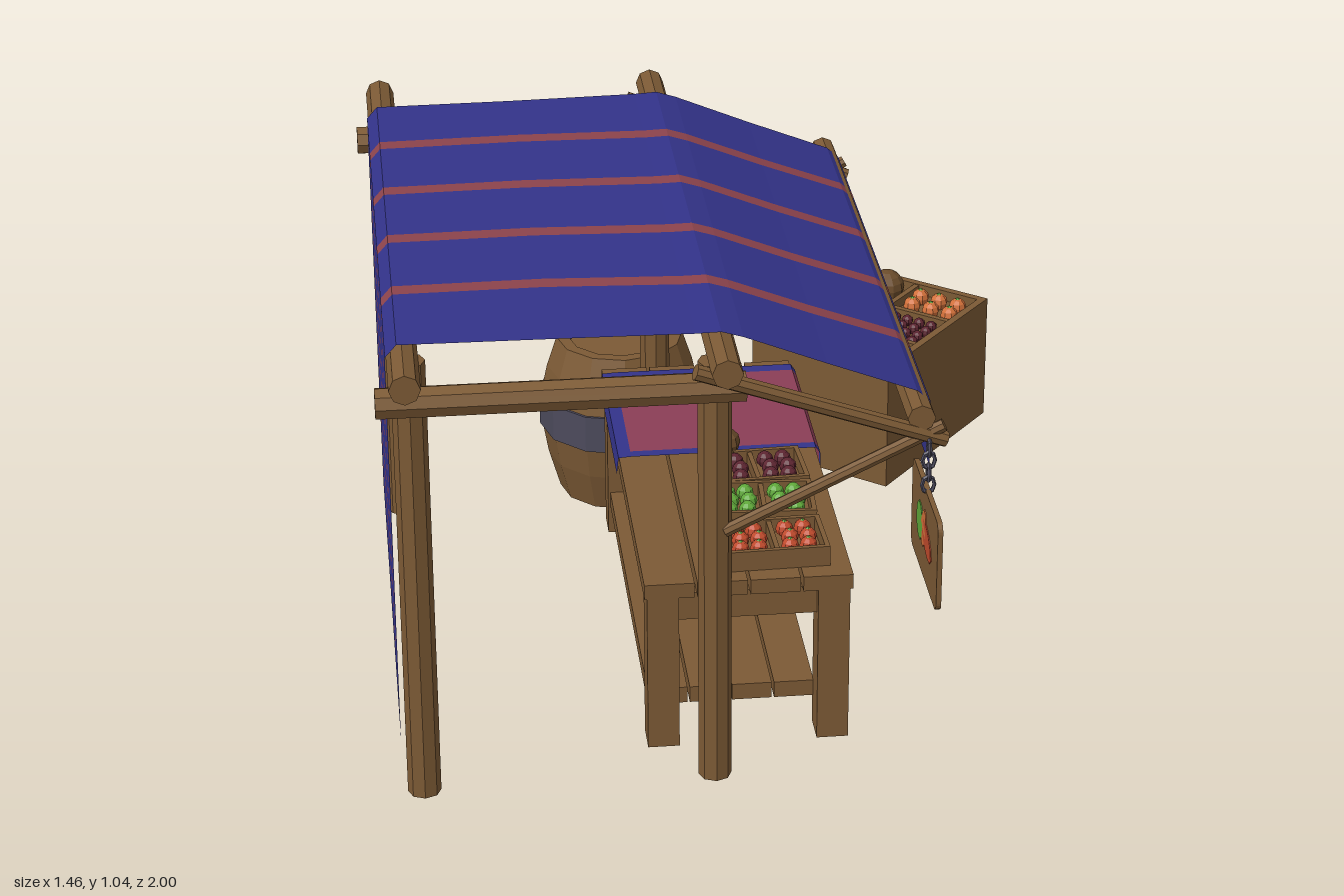
import * as THREE from 'three';

const paint = (name, color, extra = {}) => {
  const m = new THREE.MeshStandardMaterial({ color, flatShading: true, ...extra });
  m.name = name;
  return m;
};

export function createModel() {
  const two = { side: THREE.DoubleSide };
  const wood = paint('wood', 0x7c5a35);
  const darkWood = paint('dark wood', 0x6b4c2b);
  const blue = paint('blue cloth', 0x33338a, two);
  const red = paint('red stripe', 0x8c434c, two);
  const rugRed = paint('rug red', 0x8b3e56, two);
  const iron = paint('iron', 0x4c4a5c);
  const orange = paint('orange', 0xd2703a);
  const tomato = paint('tomato', 0xc04a2c);
  const green = paint('green', 0x5fa83a);
  const plum = paint('plum', 0x5c2430);

  const stall = new THREE.Group();
  stall.name = 'marketStall';

  const add = (geo, mat, name, x = 0, y = 0, z = 0, parent = stall) => {
    const m = new THREE.Mesh(geo, mat);
    m.name = name;
    m.position.set(x, y, z);
    parent.add(m);
    return m;
  };
  // box given by its min and max corners
  const block = (name, mat, x0, x1, y0, y1, z0, z1, parent = stall) =>
    add(new THREE.BoxGeometry(x1 - x0, y1 - y0, z1 - z0), mat, name,
      (x0 + x1) / 2, (y0 + y1) / 2, (z0 + z1) / 2, parent);
  // round pole between two points
  const pole = (name, a, b, r) => {
    const p = new THREE.Vector3(...a), q = new THREE.Vector3(...b);
    const dir = q.clone().sub(p);
    const m = add(new THREE.CylinderGeometry(r, r, dir.length(), 8), wood, name);
    m.position.copy(p).add(q).multiplyScalar(0.5);
    m.quaternion.setFromUnitVectors(new THREE.Vector3(0, 1, 0), dir.normalize());
    return m;
  };
  // ribbon of cloth along an (x, y) profile, between two z edges
  const ribbon = (name, mat, pts, zA, zB) => {
    const v = [];
    for (let i = 0; i < pts.length - 1; i++) {
      const [x0, y0] = pts[i], [x1, y1] = pts[i + 1];
      const a = [x0, y0, zA(i)], b = [x0, y0, zB(i)], c = [x1, y1, zB(i + 1)], d = [x1, y1, zA(i + 1)];
      v.push(...a, ...b, ...c, ...a, ...c, ...d);
    }
    const g = new THREE.BufferGeometry();
    g.setAttribute('position', new THREE.Float32BufferAttribute(v, 3));
    g.computeVertexNormals();
    add(g, mat, name);
  };

  // frame: posts, side rails, sloping arms and braces
  for (const [zPost, s] of [[0.78, 1], [-0.43, -1]]) {
    pole('backPost', [-0.67, 0.06, zPost], [-0.67, 1, zPost], 0.033);
    pole('frontPost', [-0.092, 0.06, zPost], [-0.092, 0.97, zPost], 0.033);
    const zRail = zPost + 0.055 * s;
    pole('sideRail', [-0.735, 0.94, zRail], [-0.04, 0.94, zRail], 0.031);
    pole('awningArm', [-0.14, 0.995, zPost + 0.1 * s], [0.345, 0.807, zPost + 0.055 * s], 0.016);
    pole('armBrace', [-0.075, 0.615, zPost + 0.02 * s], [0.34, 0.84, zPost + 0.06 * s], 0.013);
  }
  pole('backLog', [-0.68, 1, -0.61], [-0.68, 1, 0.91], 0.03);
  pole('ridgeLog', [-0.082, 1, -0.61], [-0.082, 1, 0.91], 0.03);
  pole('frontLog', [0.295, 0.86, -0.52], [0.295, 0.86, 0.85], 0.027);

  // awning: outer strips blue, stripes red, hem and front flap blue
  const roof = [[-0.712, 0.15], [-0.712, 0.24], [-0.712, 0.6], [-0.712, 1.01], [-0.69, 1.035],
    [-0.4, 1.035], [-0.13, 1.036], [-0.082, 1.038], [-0.04, 1.025], [0.12, 0.96],
    [0.295, 0.892], [0.32, 0.87], [0.322, 0.73]];
  const half = [0.565, 0.57, 0.59, 0.61, 0.61, 0.615, 0.624, 0.626, 0.625, 0.622, 0.62, 0.62, 0.62];
  const wave = [0.004, 0.004, -0.01, 0, 0, -0.006, 0.008, 0.01, 0.01, 0.005, -0.004, -0.004, 0];
  const edges = [-1];
  for (const c of [-0.635, -0.225, 0.18, 0.59]) edges.push(c - 0.032, c + 0.032);
  edges.push(1);
  for (let k = 0; k < edges.length - 1; k++) {
    const at = (e, off) => (i) =>
      0.175 + edges[e] * half[i + off] + (e > 0 && e < edges.length - 1 ? wave[i + off] : 0);
    const part = (name, mat, from, to) =>
      ribbon(name, mat, roof.slice(from, to + 1), at(k, from), at(k + 1, from));
    if (k % 2 === 0) part('awningCloth', blue, 0, 12);
    else {
      part('awningHem', blue, 0, 1);
      part('awningStripe', red, 1, 11);
      part('awningFlap', blue, 11, 12);
    }
  }

  // table: planks, legs, shelf and arched aprons
  for (let i = 0; i < 4; i++) {
    const x = -0.22 + i * 0.106;
    block('tablePlank', wood, x, x + 0.1, 0.4, 0.432, -0.33, 0.67);
    const sx = -0.21 + i * 0.086;
    block('shelfPlank', wood, sx, sx + 0.081, 0.125, 0.16, -0.27, 0.61);
  }
  for (const x of [-0.215, 0.128])
    for (const z of [-0.33, 0.6]) block('tableLeg', wood, x, x + 0.064, 0.06, 0.4, z, z + 0.07);
  const arch = new THREE.Shape();
  arch.moveTo(-0.27, 0.4);
  arch.lineTo(-0.27, 0.24);
  arch.lineTo(-0.24, 0.24);
  arch.quadraticCurveTo(-0.22, 0.3, -0.13, 0.31);
  arch.lineTo(0.47, 0.31);
  arch.quadraticCurveTo(0.56, 0.3, 0.58, 0.24);
  arch.lineTo(0.61, 0.24);
  arch.lineTo(0.61, 0.4);
  const apron = new THREE.ExtrudeGeometry(arch, { depth: 0.025, bevelEnabled: false, curveSegments: 5 });
  apron.rotateY(-Math.PI / 2);
  for (const x of [0.175, -0.17]) add(apron, wood, 'tableApron', x);
  for (const z of [-0.31, 0.625]) block('tableCrossbar', wood, -0.16, 0.14, 0.34, 0.4, z, z + 0.025);

  // rug over the table
  const rug = [[-0.226, 0.4], [-0.222, 0.438], [-0.195, 0.44], [0.198, 0.44], [0.208, 0.425], [0.212, 0.12], [0.213, 0.09]];
  const flat = (z) => () => z;
  ribbon('rugBorder', blue, rug, flat(-0.295), flat(-0.265));
  ribbon('rugBorder', blue, rug, flat(0.095), flat(0.12));
  ribbon('rugBorder', blue, rug.slice(0, 3), flat(-0.265), flat(0.095));
  ribbon('rugField', rugRed, rug.slice(2, 6), flat(-0.265), flat(0.095));
  ribbon('rugBorder', blue, rug.slice(5), flat(-0.265), flat(0.095));

  // a little heap of produce, laid out on a grid
  const heap = (parent, mat, cx, y, cz, nx, nz, step, r) => {
    for (let i = 0; i < nx; i++)
      for (let j = 0; j < nz; j++) {
        const x = cx + (i - (nx - 1) / 2) * step + (j % 2 ? 0.15 : -0.15) * r;
        const z = cz + (j - (nz - 1) / 2) * step;
        add(new THREE.SphereGeometry(r, 8, 6), mat, 'produce', x, y, z, parent);
        if (mat === orange || mat === tomato)
          add(new THREE.ConeGeometry(r * 0.4, r * 0.3, 5), green, 'produceLeaf', x, y + r, z, parent);
      }
  };
  // open tray: floor and four walls, centred on its parent
  const tray = (parent, w, d, y0, floor, top, t) => {
    block('crateBody', wood, -w / 2, w / 2, y0, floor, -d / 2, d / 2, parent);
    for (const s of [-1, 1]) {
      const x = s * (w - t) / 2, z = s * (d - t) / 2;
      block('crateWall', wood, x - t / 2, x + t / 2, floor, top, -d / 2, d / 2, parent);
      block('crateWall', wood, -w / 2 + t, w / 2 - t, floor, top, z - t / 2, z + t / 2, parent);
    }
  };
  const group = (name, x, z, turn) => {
    const g = new THREE.Group();
    g.name = name;
    g.position.set(x, 0, z);
    g.rotation.y = turn;
    stall.add(g);
    return g;
  };

  // small crates on the table
  [[0.56, tomato, 0.03], [0.395, green, -0.04], [0.25, plum, 0.05]].forEach(([z, mat, turn]) => {
    const g = group('smallCrate', 0.05, z, turn);
    tray(g, 0.21, 0.14, 0.432, 0.445, 0.475, 0.01);
    block('crateDivider', wood, -0.005, 0.005, 0.445, 0.472, -0.06, 0.06, g);
    for (const x of [-0.05, 0.05]) heap(g, mat, x, 0.465, 0, 2, 3, 0.037, 0.018);
  });
  for (const [x, z] of [[-0.02, 0.2], [0.0, 0.14]])
    add(new THREE.SphereGeometry(0.034, 8, 6), darkWood, 'melon', x, 0.474, z);

  // large crate with six compartments
  const crate = group('largeCrate', 0.443, -0.705, -0.687);
  tray(crate, 0.365, 0.46, 0.06, 0.335, 0.36, 0.018);
  block('crateDivider', wood, -0.007, 0.007, 0.335, 0.358, -0.215, 0.215, crate);
  for (const z of [-0.075, 0.075]) block('crateDivider', wood, -0.17, 0.17, 0.335, 0.358, z - 0.007, z + 0.007, crate);
  heap(crate, green, -0.088, 0.348, 0, 3, 3, 0.042, 0.021);
  heap(crate, tomato, -0.088, 0.35, 0.145, 3, 2, 0.05, 0.023);
  heap(crate, orange, 0.088, 0.35, -0.145, 3, 2, 0.05, 0.021);
  heap(crate, plum, 0.088, 0.345, 0, 4, 4, 0.032, 0.014);
  heap(crate, orange, 0.088, 0.35, 0.145, 3, 2, 0.05, 0.021);
  for (const [x, z] of [[-0.13, -0.135], [-0.055, -0.165]])
    add(new THREE.SphereGeometry(0.042, 10, 8), darkWood, 'melon', x, 0.358, z, crate);

  // barrel with a sunken lid and an iron band
  const lathe = (pts, n) => new THREE.LatheGeometry(pts.map(([r, y]) => new THREE.Vector2(r, y)), n);
  add(lathe([[0, 0], [0.142, 0], [0.168, 0.09], [0.181, 0.165], [0.181, 0.25], [0.168, 0.31],
    [0.145, 0.38], [0.118, 0.38], [0.115, 0.362], [0, 0.362]], 12), wood, 'barrel', -0.155, 0, -0.625);
  add(lathe([[0.178, 0.163], [0.187, 0.163], [0.187, 0.25], [0.178, 0.25]], 12), iron, 'barrelBand', -0.155, 0, -0.625);

  // hanging sign with painted vegetables
  const rounded = (w, h, r) => {
    const s = new THREE.Shape();
    s.absarc(w - r, h - r, r, 0, Math.PI / 2);
    s.absarc(r - w, h - r, r, Math.PI / 2, Math.PI);
    s.absarc(r - w, r - h, r, Math.PI, Math.PI * 1.5);
    s.absarc(w - r, r - h, r, Math.PI * 1.5, Math.PI * 2);
    return s;
  };
  const board = new THREE.ExtrudeGeometry(rounded(0.148, 0.094, 0.02), { depth: 0.01, bevelEnabled: false, curveSegments: 3 });
  board.rotateY(-Math.PI / 2);
  add(board, wood, 'signBoard', 0.315, 0.615, 0.852);
  const spot = (name, mat, z, y, rz, ry, tilt) => {
    const g = new THREE.CylinderGeometry(1, 1, 0.014, 10);
    g.rotateZ(Math.PI / 2).scale(1, ry, rz).rotateX(tilt);
    add(g, mat, name, 0.31, y, z);
  };
  spot('paintedCarrot', tomato, 0.885, 0.615, 0.055, 0.028, 0.3);
  spot('paintedRoot', orange, 0.85, 0.625, 0.025, 0.045, 0.3);
  spot('paintedLeaf', green, 0.805, 0.62, 0.033, 0.04, 0);
  for (let i = 0; i < 4; i++) {
    const link = add(new THREE.TorusGeometry(0.012, 0.004, 5, 8), iron, 'chainLink', 0.31, 0.72 + i * 0.026, 0.852);
    link.scale.y = 1.4;
    link.rotation.y = i % 2 ? Math.PI / 2 : 0;
  }
  return stall;
}
